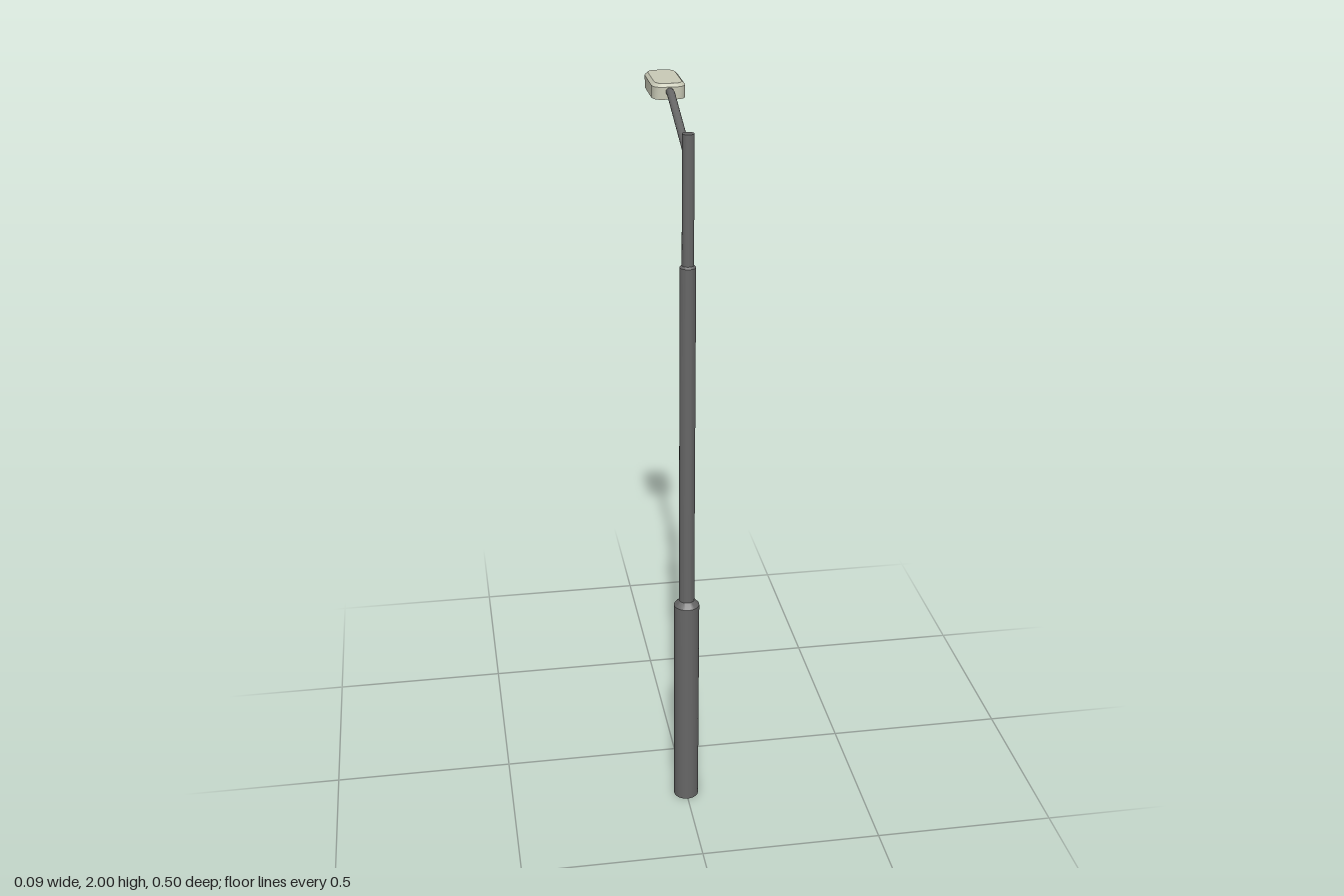
import * as THREE from 'three';
import { toCreasedNormals } from 'three/addons/utils/BufferGeometryUtils.js';

const POLE_Z = 0.214;
const metal = new THREE.MeshStandardMaterial({ color: 0x666666 });
const shell = new THREE.MeshStandardMaterial({ color: 0xc8c9b6 });

function part(name, geometry, material) {
  const mesh = new THREE.Mesh(geometry, material);
  mesh.name = name;
  return mesh;
}

// Round bar between two points
function bar(name, a, b, radius) {
  const dir = b.clone().sub(a);
  const mesh = part(name, new THREE.CylinderGeometry(radius, radius, dir.length(), 16), metal);
  mesh.position.copy(a).add(b).multiplyScalar(0.5);
  mesh.quaternion.setFromUnitVectors(new THREE.Vector3(0, 1, 0), dir.normalize());
  return mesh;
}

// Rounded rectangle ring of the lamp head at a given inset and height
function headRing(inset, y, steps = 4) {
  const w = 0.044 - inset, d = 0.0885 - inset;
  const rx = Math.max(0.024 - inset * 0.5, 0), rz = Math.max(0.03 - inset * 0.5, 0);
  const ring = [];
  for (let q = 0; q < 4; q++) {
    const sx = q === 0 || q === 3 ? 1 : -1, sz = q < 2 ? 1 : -1;
    for (let i = 0; i <= steps; i++) {
      const a = (q + i / steps) * Math.PI / 2;
      ring.push([sx * (w - rx) + rx * Math.cos(a), y, sz * (d - rz) + rz * Math.sin(a)]);
    }
  }
  return ring;
}

// Loft from the recessed ceiling, round the rim, up the wall to the top
function headGeometry() {
  const rings = [[0.008, 1.984], [0.008, 1.96], [0, 1.96], [0, 1.992], [0.008, 2]]
    .map(([inset, y]) => headRing(inset, y));
  const n = rings[0].length;
  const pos = [];
  const tri = (a, b, c) => pos.push(...a, ...b, ...c);
  for (let k = 0; k < rings.length - 1; k++) {
    const lo = rings[k], hi = rings[k + 1];
    for (let i = 0; i < n; i++) {
      const j = (i + 1) % n;
      tri(lo[i], hi[i], lo[j]);
      tri(lo[j], hi[i], hi[j]);
    }
  }
  const first = rings[0], last = rings[rings.length - 1];
  for (let i = 0; i < n; i++) {
    const j = (i + 1) % n;
    tri([0, first[0][1], 0], first[i], first[j]);
    tri([0, last[0][1], 0], last[j], last[i]);
  }
  const geo = new THREE.BufferGeometry();
  geo.setAttribute('position', new THREE.Float32BufferAttribute(pos, 3));
  return toCreasedNormals(geo, 0.5);
}

export function createModel() {
  const model = new THREE.Group();
  model.name = 'streetLamp';

  // Stepped pole: wide base, shaft and slim top
  const profile = [
    [0, 0], [0.035, 0], [0.035, 0.63], [0.021, 0.645],
    [0.021, 1.605], [0.0155, 1.61], [0.0155, 1.945], [0, 1.945],
  ].map(([r, y]) => new THREE.Vector2(r, y));
  const pole = part('pole', toCreasedNormals(new THREE.LatheGeometry(profile, 24), 0.5), metal);
  pole.position.z = POLE_Z;
  model.add(pole);

  // Sloping arm with a bend into the lamp head
  const root = new THREE.Vector3(0, 1.887, POLE_Z);
  const bend = new THREE.Vector3(0, 1.98, -0.056);
  const tip = new THREE.Vector3(0, 1.98, -0.08);
  const arm = new THREE.Group();
  arm.name = 'arm';
  const elbow = part('armElbow', new THREE.SphereGeometry(0.0105, 16, 10), metal);
  elbow.position.copy(bend);
  arm.add(bar('armSlope', root, bend, 0.0105), elbow, bar('armEnd', bend, tip, 0.0105));
  model.add(arm);

  // Lamp head, hollow underneath
  const head = part('lampHead', headGeometry(), shell);
  head.position.z = -0.1615;
  model.add(head);

  return model;
}
